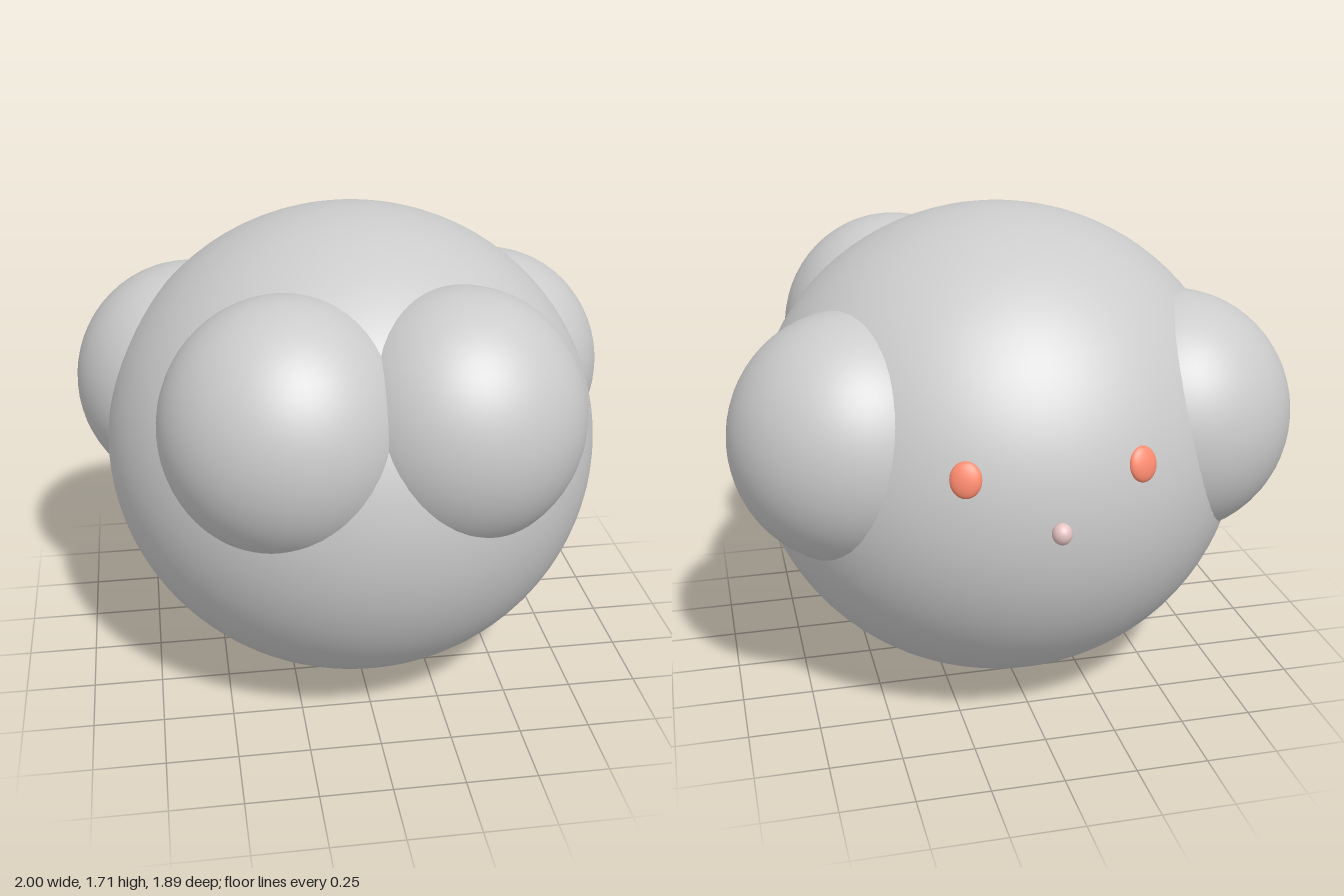
import * as THREE from 'three';

const material = (color) => new THREE.MeshStandardMaterial({ color });

// Smooth ellipsoid from a centre and three radii
function ellipsoid(name, center, radii, mat, segments = 48) {
  const geometry = new THREE.SphereGeometry(1, segments, segments / 2);
  geometry.scale(...radii);
  const mesh = new THREE.Mesh(geometry, mat);
  mesh.name = name;
  mesh.position.set(...center);
  return mesh;
}

export function createModel() {
  const model = new THREE.Group();
  const grey = material(0xcccccc);
  const coral = material(0xff8c70);
  const pink = material(0xe6c4c4);

  // Round body
  model.add(ellipsoid('body', [0, 0.864, 0], [0.89, 0.857, 0.893], grey, 96));

  for (const [side, s] of [['left', 1], ['right', -1]]) {
    // Bulges on the front and towards the back of each side
    model.add(ellipsoid(side + 'FrontBulge', [s * 0.29, 1.15, 0.527], [0.425, 0.44, 0.417], grey, 64));
    model.add(ellipsoid(side + 'SideBulge', [s * 0.568, 1.01, -0.29], [0.43, 0.44, 0.425], grey, 64));

    // Flattened spot lying against the back of the body
    const spot = ellipsoid(side + 'Spot', [s * 0.29, 1.04, -0.822], [0.052, 0.06, 0.024], coral, 32);
    spot.lookAt(s * 0.58, 1.25, -1.644);
    model.add(spot);
  }

  // Small bead between and below the spots
  model.add(ellipsoid('bead', [0, 0.865, -0.912], [0.033, 0.036, 0.033], pink, 32));

  return model;
}
